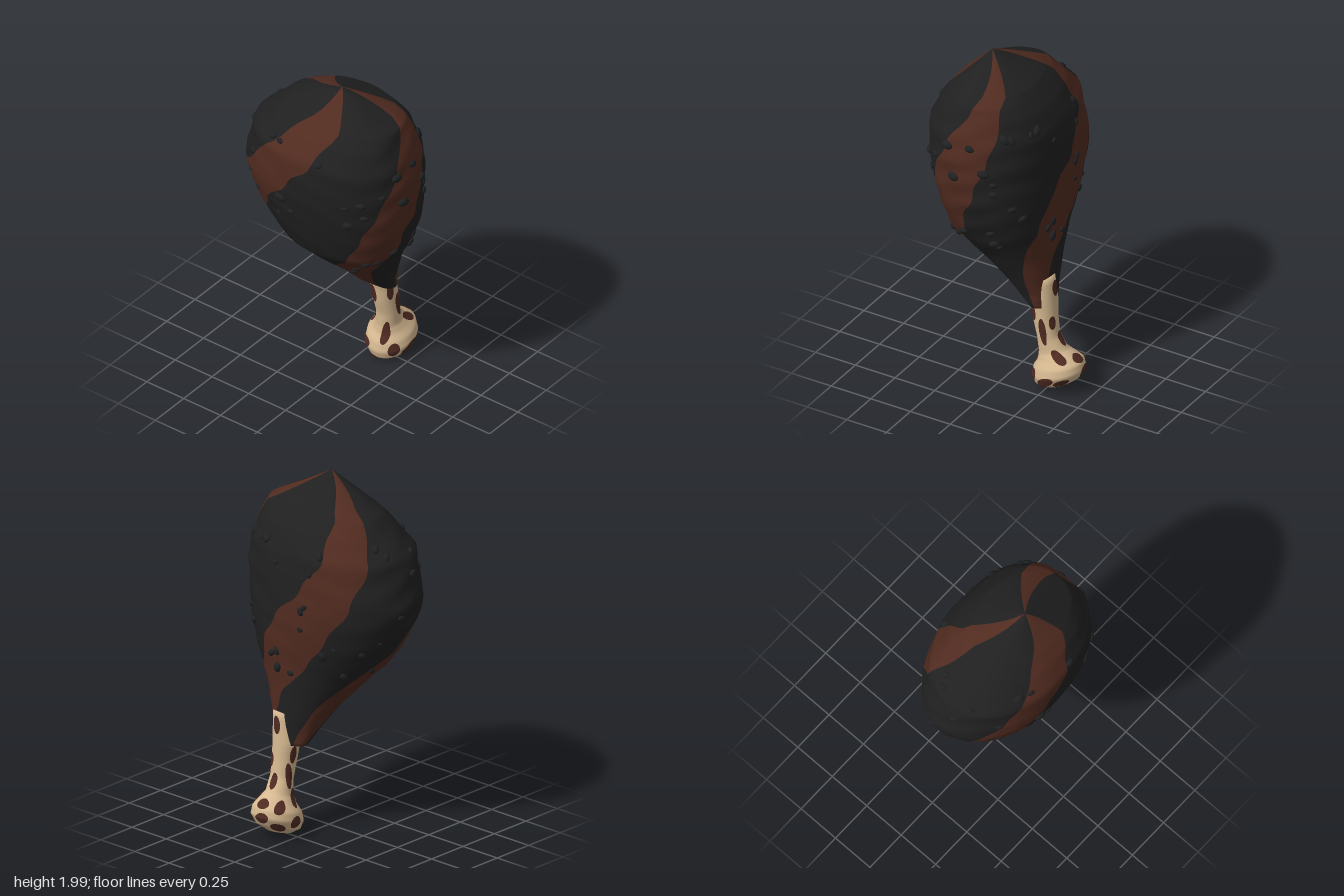
import * as THREE from 'three';

const mat = (name, color, side = THREE.FrontSide) => {
  const m = new THREE.MeshStandardMaterial({ color, side });
  m.name = name;
  return m;
};
const lerp = THREE.MathUtils.lerp, rad = THREE.MathUtils.degToRad;

// Cross-sections from top to bottom: y, xMin, xMax, zBack, zFront
const MEAT = {
  tilt: 0, wrinkle: 1, bulge: 0.84,
  rings: [
    [2.0, 0.1, 0.1, 0.13, 0.13], [1.86, -0.19, 0.36, -0.13, 0.27], [1.82, -0.27, 0.43, -0.165, 0.31],
    [1.75, -0.34, 0.46, -0.22, 0.37], [1.63, -0.465, 0.505, -0.275, 0.435], [1.5, -0.5, 0.52, -0.29, 0.44],
    [1.38, -0.53, 0.515, -0.295, 0.435], [1.25, -0.5, 0.505, -0.295, 0.41], [1.1, -0.42, 0.465, -0.285, 0.37],
    [0.98, -0.325, 0.415, -0.27, 0.325], [0.85, -0.21, 0.33, -0.262, 0.2], [0.7, -0.1, 0.26, -0.26, 0.04],
    [0.6, -0.045, 0.225, -0.258, -0.05], [0.52, -0.01, 0.21, -0.255, -0.14], [0.518, 0.1, 0.1, -0.19, -0.19],
  ],
};
const BONE = {
  tilt: -0.25, wrinkle: 0, bulge: 1,
  rings: [
    [0.685, 0.13, 0.13, -0.18, -0.18], [0.68, 0.06, 0.2, -0.275, -0.1], [0.52, 0.04, 0.195, -0.283, -0.14],
    [0.42, 0.053, 0.19, -0.288, -0.155], [0.32, 0.058, 0.19, -0.3, -0.18], [0.24, 0.045, 0.19, -0.345, -0.185],
    [0.2, 0.015, 0.21, -0.395, -0.18], [0.16, -0.02, 0.235, -0.435, -0.155], [0.11, -0.03, 0.245, -0.445, -0.145],
    [0.06, -0.01, 0.225, -0.415, -0.16], [0.025, 0.04, 0.175, -0.355, -0.205], [0.012, 0.11, 0.11, -0.28, -0.28],
  ],
};

// Interpolated row of a descending table, keyed by its first column
function sample(table, y) {
  let i = 0;
  while (i < table.length - 2 && y < table[i + 1][0]) i++;
  const a = table[i], b = table[i + 1];
  const t = THREE.MathUtils.clamp((a[0] - y) / (a[0] - b[0]), 0, 1);
  return a.map((v, k) => lerp(v, b[k], t));
}

// Centre and half sizes of a cross-section
function section(part, y) {
  const [, x0, x1, z0, z1] = sample(part.rings, y);
  return { cx: (x0 + x1) / 2, hx: (x1 - x0) / 2, cz: (z0 + z1) / 2, hz: (z1 - z0) / 2 };
}

// Surface point; angle 0 faces the front and grows toward +x
function surf(part, y, angle) {
  const { cx, hx, cz, hz } = section(part, y);
  const s = Math.sin(angle), c = Math.cos(angle), p = s > 0 ? part.bulge : 1;
  const k = 1 + part.wrinkle * (0.006 * Math.sin(42 * y + 4 * Math.sin(2 * angle)) + 0.006 * Math.sin(9 * angle + 13 * y));
  const dz = hz * Math.sign(c) * Math.abs(c) ** p * k;
  return new THREE.Vector3(cx + hx * Math.sign(s) * Math.abs(s) ** p * k, y + part.tilt * dz, cz + dz);
}

function normalAt(part, y, angle) {
  const e = 0.02;
  const across = surf(part, y, angle + e).sub(surf(part, y, angle - e));
  const up = surf(part, y + e, angle).sub(surf(part, y - e, angle));
  return across.cross(up).normalize();
}

// Closed skin whose columns run between the band edges given by edgesAt(y)
function loft(part, steps, edgesAt, segs, matIndex) {
  const ys = [];
  part.rings.forEach((r, i) => {
    const next = part.rings[i + 1];
    if (!next) return ys.push(r[0]);
    for (let k = 0; k < steps; k++) ys.push(lerp(r[0], next[0], k / steps));
  });
  const pos = [], index = [], geo = new THREE.BufferGeometry();
  const cols = segs.reduce((a, b) => a + b, 0);
  for (const y of ys) {
    const edges = edgesAt(y);
    segs.forEach((n, b) => {
      for (let k = 0; k < n; k++) pos.push(...surf(part, y, lerp(edges[b], edges[b + 1], k / n)).toArray());
    });
  }
  let first = 0;
  segs.forEach((n, b) => {
    const start = index.length;
    for (let r = 0; r < ys.length - 1; r++) {
      for (let c = first; c < first + n; c++) {
        const d = (c + 1) % cols, u = r * cols, v = u + cols;
        index.push(u + c, v + c, u + d, u + d, v + c, v + d);
      }
    }
    geo.addGroup(start, index.length - start, matIndex[b]);
    first += n;
  });
  geo.setAttribute('position', new THREE.Float32BufferAttribute(pos, 3));
  geo.setIndex(index);
  geo.computeVertexNormals();
  return geo;
}

// Glaze spiral in degrees: y, middle stripe angle, half width, offsets of the two other stripes
const SPIRAL = [
  [2.0, 130, 15, -118, 128], [1.9, 119, 16, -114, 126], [1.8, 109, 17, -111, 124], [1.6, 96, 18, -109, 122],
  [1.4, 81, 20, -111, 119], [1.2, 67, 22, -122, 118], [1.0, 55, 24, -132, 118], [0.8, 25, 26, -125, 120],
  [0.6, 5, 26, -120, 120], [0.5, 0, 27, -120, 120],
];
function stripeEdges(y) {
  const [, a, w, before, after] = sample(SPIRAL, y);
  return [before - w, before + w, -w, w, after - w, after + w, before - w + 360].map(
    (d, i) => rad(a + d + 1.2 * Math.sin(31 * y + (i % 6) * 2)));
}

// Thin oval patch hugging the surface
function patch(part, y, angle, w, h, lean) {
  const geo = new THREE.RingGeometry(0, 1, 18, 4);
  const p = geo.attributes.position, hx = section(part, y).hx;
  for (let i = 0; i < p.count; i++) {
    const u = p.getX(i) * w, v = p.getY(i) * h;
    const py = y + v, pa = angle + (u + lean * v) / hx;
    const q = surf(part, py, pa).addScaledVector(normalAt(part, py, pa), 0.004);
    p.setXYZ(i, q.x, q.y, q.z);
  }
  geo.computeVertexNormals();
  return geo;
}

export function createModel() {
  const model = new THREE.Group();
  model.name = 'drumstick';
  const char = mat('charred black', 0x202020);
  const glaze = mat('glaze brown', 0x512b20);
  const cream = mat('bone cream', 0xd6b991);
  const spot = mat('spot brown', 0x4f2a22, THREE.DoubleSide);
  const crumb = mat('crumb black', 0x1f2123);
  const add = (parent, name, geo, material) => {
    const m = new THREE.Mesh(geo, material);
    m.name = name;
    parent.add(m);
    return m;
  };

  // Meat with three spiral stripes
  add(model, 'meat', loft(MEAT, 5, stripeEdges, [8, 16, 8, 16, 8, 16], [0, 1, 0, 1, 0, 1]), [glaze, char]);

  // Bone and its spots: angle, y, half width, half height, lean
  add(model, 'bone', loft(BONE, 4, () => [0, 2 * Math.PI], [32], [0]), [cream]);
  const spots = new THREE.Group();
  spots.name = 'boneSpots';
  model.add(spots);
  const spotList = [
    [-15, 0.48, 0.021, 0.065, 0], [62, 0.49, 0.02, 0.055, 0], [25, 0.22, 0.022, 0.062, 0.15], [-75, 0.23, 0.018, 0.05, 0],
    [-38, 0.12, 0.045, 0.033, 0.6], [45, 0.12, 0.032, 0.04, 0], [-8, 0.055, 0.03, 0.02, 0], [100, 0.37, 0.02, 0.08, 0],
    [128, 0.22, 0.026, 0.04, -0.2], [85, 0.09, 0.045, 0.032, 0.5], [125, 0.08, 0.04, 0.022, 0.3], [183, 0.185, 0.036, 0.025, 0],
    [232, 0.18, 0.028, 0.035, 0.3], [150, 0.41, 0.02, 0.04, 0], [185, 0.3, 0.02, 0.045, 0], [180, 0.61, 0.022, 0.05, 0],
    [258, 0.46, 0.02, 0.05, 0], [252, 0.34, 0.02, 0.07, -0.2], [188, 0.11, 0.04, 0.03, 0.3], [225, 0.07, 0.04, 0.025, 0],
    [270, 0.11, 0.032, 0.035, 0.4], [150, 0.038, 0.016, 0.01, 0], [60, 0.036, 0.014, 0.008, 0],
  ];
  for (const [a, y, w, h, lean] of spotList) add(spots, 'boneSpot', patch(BONE, y, rad(a), w, h, lean), spot);

  // Crumbs stuck on the crust
  const crumbs = new THREE.Group();
  crumbs.name = 'crumbs';
  model.add(crumbs);
  let seed = 11;
  const rnd = () => (seed = (seed * 16807) % 2147483647) / 2147483647;
  const ball = new THREE.SphereGeometry(1, 12, 8);
  const addCrumb = (y, angle, size) => {
    const m = add(crumbs, 'crumb', ball, crumb);
    const n = normalAt(MEAT, y, angle);
    m.position.copy(surf(MEAT, y, angle));
    m.quaternion.setFromUnitVectors(new THREE.Vector3(0, 0, 1), n);
    m.scale.set(size * 1.2, size * 0.85, size * 0.6);
  };
  // on the front: x, y, size
  for (const [x, y, s] of [[-0.2, 1.68, 0.027], [-0.13, 1.68, 0.018], [0.12, 1.66, 0.024], [-0.1, 1.34, 0.032],
    [-0.34, 1.5, 0.018], [-0.38, 1.35, 0.012], [-0.32, 1.26, 0.016], [-0.03, 1.27, 0.018], [-0.14, 1.2, 0.016],
    [0.28, 1.42, 0.017], [0.29, 1.3, 0.026], [0.32, 0.97, 0.024], [0.22, 0.87, 0.02], [0.17, 0.81, 0.02]]) {
    const { cx, hx } = section(MEAT, y);
    addCrumb(y, Math.asin((x - cx) / hx), s);
  }
  // on the +x side: z, y, size
  for (const [z, y, s] of [[0.15, 1.59, 0.03], [0.11, 1.41, 0.03], [-0.03, 1.47, 0.028], [-0.12, 1.67, 0.028],
    [0.09, 1.03, 0.024], [-0.07, 0.96, 0.02], [0.16, 0.97, 0.022], [-0.04, 1.06, 0.024], [0.24, 1.49, 0.018],
    [0.33, 1.45, 0.024], [0.31, 1.36, 0.022], [-0.08, 1.4, 0.02], [-0.15, 1.66, 0.025]]) {
    const { cz, hz } = section(MEAT, y);
    addCrumb(y, Math.acos((z - cz) / hz), s);
  }
  // scattered over the rest
  for (let i = 0; i < 28; i++) addCrumb(lerp(0.95, 1.7, rnd()), rad(lerp(95, 290, rnd())), lerp(0.014, 0.028, rnd()));
  return model;
}
